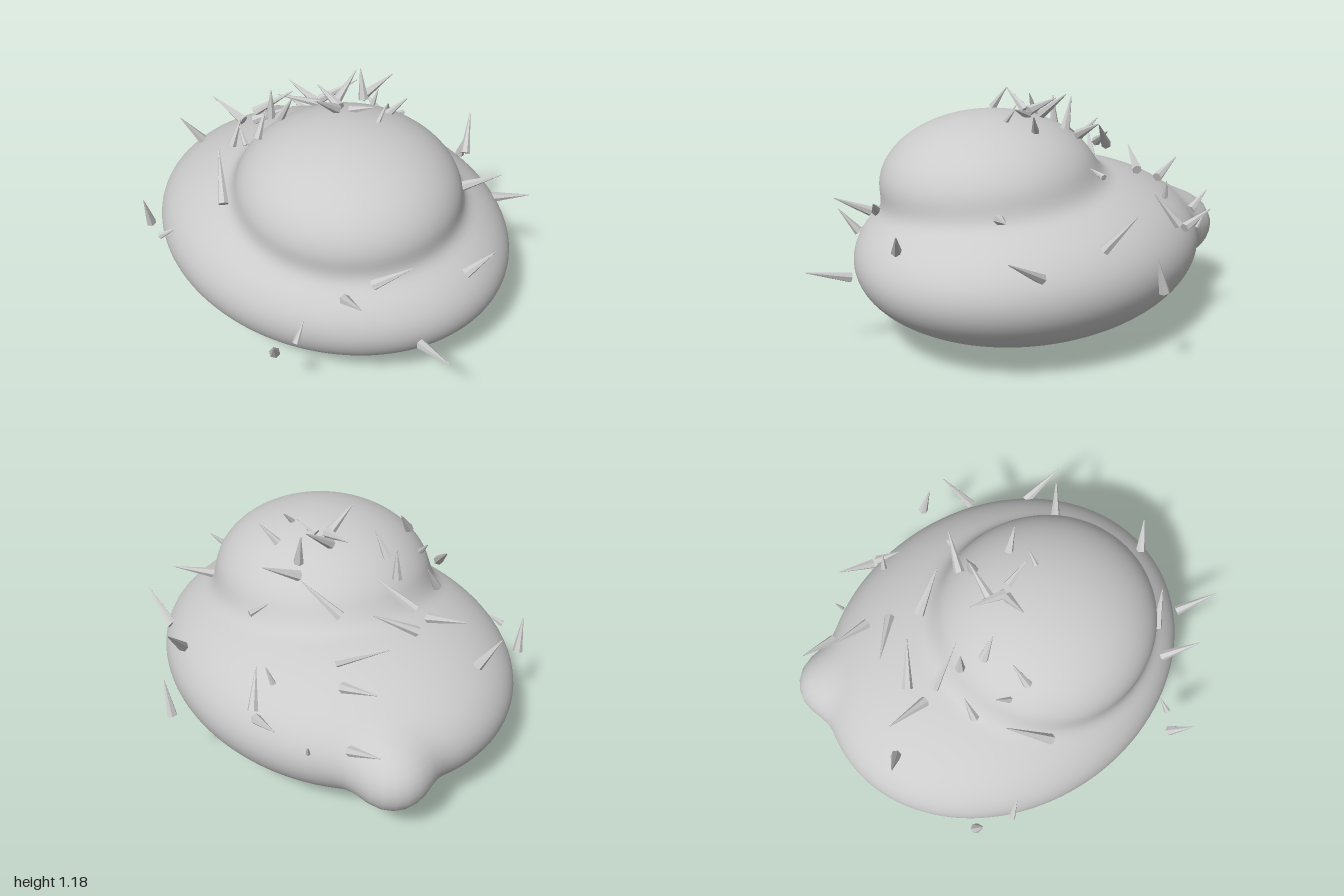
import * as THREE from 'three';
import { mergeVertices } from 'three/addons/utils/BufferGeometryUtils.js';

const grey = new THREE.MeshStandardMaterial({ color: 0xcccccc });
const facet = new THREE.MeshStandardMaterial({ color: 0xcccccc, flatShading: true });

// Body masses: centre, radii, softness of the join to the masses before it
const masses = [
  { c: [-0.06, 0.42, 0], r: [0.93, 0.41, 0.78], k: 0 },
  { c: [0.13, 0.76, 0.09], r: [0.54, 0.335, 0.52], k: 0.08 },
  { c: [-0.82, 0.4, -0.37], r: [0.18, 0.17, 0.18], k: 0.09 },
];

// Approximate distance to an ellipsoid
function ellipsoid(p, { c, r }) {
  const q = p.map((v, i) => (v - c[i]) / r[i]);
  const a = Math.hypot(...q);
  const b = Math.hypot(...q.map((v, i) => v / r[i]));
  return b < 1e-6 ? -Math.min(...r) : (a * (a - 1)) / b;
}

function field(p) {
  let d = Infinity;
  for (const m of masses) {
    const e = ellipsoid(p, m);
    const h = m.k ? Math.max(m.k - Math.abs(d - e), 0) / m.k : 0;
    d = Math.min(d, e) - h * h * m.k * 0.25;
  }
  return d;
}

// A sphere whose points are pushed out to the blended surface
function makeBody() {
  const sphere = new THREE.SphereGeometry(1, 128, 96);
  sphere.deleteAttribute('uv');
  sphere.deleteAttribute('normal');
  const geo = mergeVertices(sphere, 1e-5);
  const pos = geo.attributes.position;
  const o = [0, 0.5, 0.03];
  for (let i = 0; i < pos.count; i++) {
    const dir = [pos.getX(i), pos.getY(i), pos.getZ(i)];
    const at = (t) => dir.map((v, j) => o[j] + v * t);
    let lo = 0.1, hi = 1.5;
    for (let n = 0; n < 30; n++) {
      const mid = (lo + hi) / 2;
      if (field(at(mid)) < 0) lo = mid; else hi = mid;
    }
    pos.setXYZ(i, ...at(lo));
  }
  geo.computeVertexNormals();
  const mesh = new THREE.Mesh(geo, grey);
  mesh.name = 'body';
  return mesh;
}

// Thorns: base point, then tip point
const rimThorns = [
  [0.25, 0.62, -0.68, 0.18, 0.78, -0.8],
  [0.08, 0.43, -0.885, 0.13, 0.6, -0.875],
  [0.52, 0.54, -0.56, 0.72, 0.66, -0.55],
  [0.5, 0.74, -0.3, 0.62, 0.785, -0.45],
  [0.79, 0.59, 0.04, 0.87, 0.7, -0.05],
  [0.8, 0.39, 0.355, 1, 0.455, 0.42],
  [0.51, 0.6, 0.535, 0.67, 0.69, 0.61],
  [0.57, 0.64, 0.42, 0.69, 0.73, 0.3],
  [0.41, 0.42, 0.74, 0.4, 0.5, 0.68],
  [0.36, 0.39, 0.82, 0.43, 0.515, 0.89],
];
const sideThorns = [
  [-0.53, 0.485, 0.71, -0.46, 0.54, 0.66],
  [-0.69, 0.44, 0.64, -0.67, 0.61, 0.68],
  [-0.8, 0.66, 0.18, -0.86, 0.8, 0.26],
  [-0.71, 0.53, -0.52, -0.88, 0.6, -0.51],
  [-0.55, 0.72, -0.415, -0.74, 0.785, -0.4],
  [-0.45, 0.77, -0.36, -0.61, 0.84, -0.19],
  [-0.59, 0.83, 0, -0.47, 0.93, -0.16],
  [-0.56, 0.84, 0.1, -0.76, 0.91, 0.12],
  [-0.5, 0.86, 0.08, -0.31, 0.98, 0],
  [-0.36, 0.95, 0.1, -0.35, 1.1, 0.1],
  [-0.43, 0.85, 0.3, -0.43, 0.97, 0.23],
  [-0.32, 0.71, -0.61, -0.3, 0.8, -0.63],
  [-0.3, 0.6, -0.71, -0.22, 0.75, -0.62],
  [-0.33, 0.58, -0.72, -0.5, 0.64, -0.755],
  [-0.58, 0.5, -0.64, -0.6, 0.56, -0.66],
];
const crownThorns = [
  [-0.26, 1, 0.14, -0.19, 1.13, 0.12],
  [-0.27, 0.95, 0.35, -0.33, 1.02, 0.33],
  [-0.18, 1.03, 0.36, -0.2, 1.14, 0.28],
  [-0.2, 0.77, 0.57, -0.36, 0.94, 0.44],
  [-0.02, 1.09, -0.02, -0.19, 1.13, -0.05],
  [-0.08, 1.07, -0.05, -0.08, 1.185, -0.2],
  [-0.1, 1, -0.26, -0.04, 1.085, -0.42],
  [-0.01, 0.85, -0.48, -0.03, 0.87, -0.39],
  [-0.35, 0.9, -0.24, -0.18, 1.04, -0.32],
  [0.13, 1.04, -0.19, 0.2, 1.13, -0.24],
  [0.18, 1.07, -0.05, 0.18, 1.14, -0.11],
  [0.02, 1.08, -0.05, 0.14, 1.13, -0.075],
  [-0.05, 1.03, -0.22, -0.08, 1.18, -0.23],
  [-0.02, 1.09, 0, -0.03, 1.185, 0.13],
];

function makeThorns(name, list) {
  const group = new THREE.Group();
  group.name = name;
  const up = new THREE.Vector3(0, 1, 0);
  for (const s of list) {
    const base = new THREE.Vector3(s[0], s[1], s[2]);
    const axis = new THREE.Vector3(s[3], s[4], s[5]).sub(base);
    const length = axis.length();
    const geo = new THREE.CylinderGeometry(0.002, Math.min(0.025, length * 0.16), length, 6);
    geo.translate(0, length / 2, 0);
    const thorn = new THREE.Mesh(geo, facet);
    thorn.name = 'thorn';
    thorn.position.copy(base);
    thorn.quaternion.setFromUnitVectors(up, axis.normalize());
    group.add(thorn);
  }
  return group;
}

export function createModel() {
  const model = new THREE.Group();
  model.name = 'thornyBlob';
  model.add(
    makeBody(),
    makeThorns('rimThorns', rimThorns),
    makeThorns('sideThorns', sideThorns),
    makeThorns('crownThorns', crownThorns),
  );
  return model;
}
